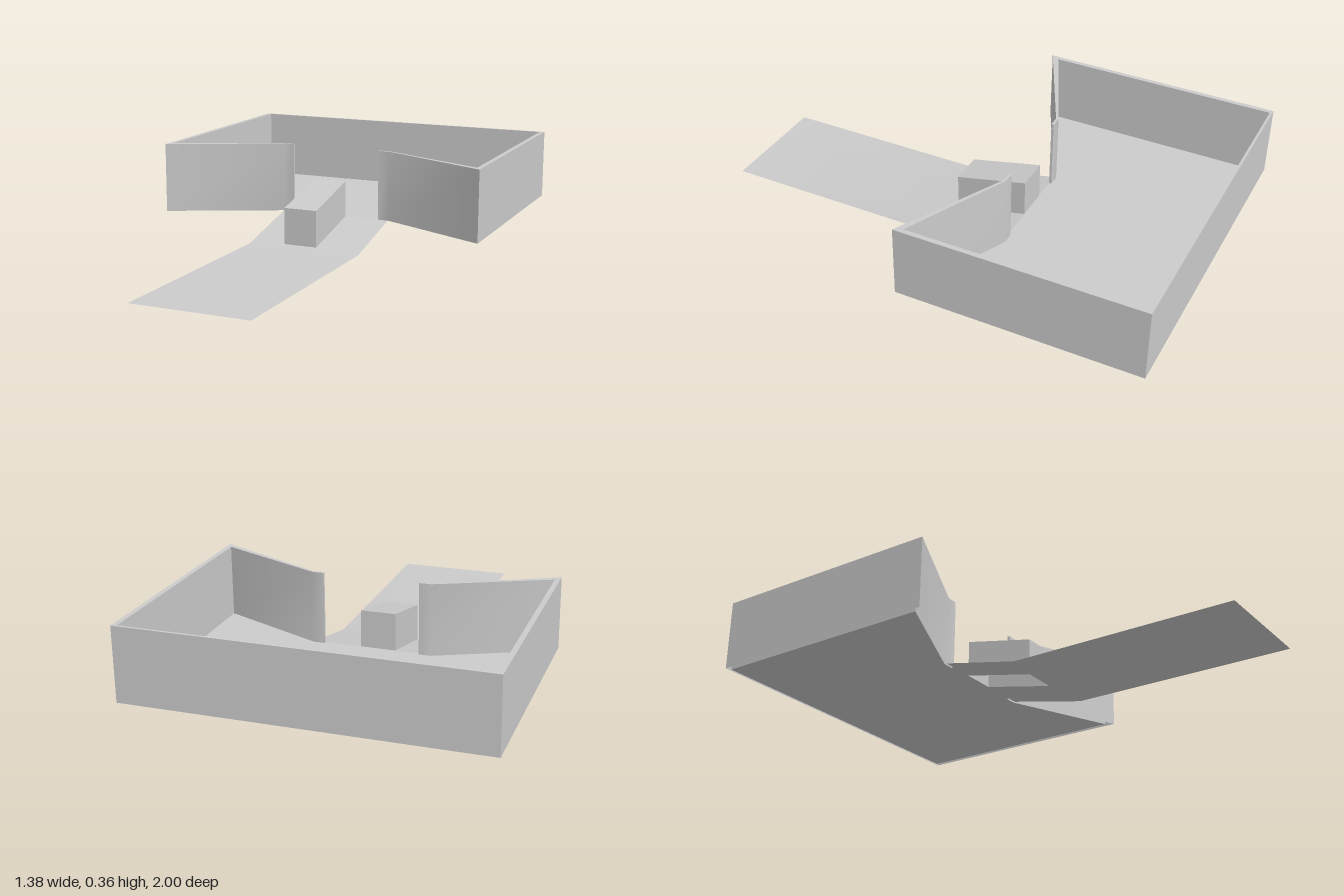
import * as THREE from 'three';
import { toCreasedNormals } from 'three/addons/utils/BufferGeometryUtils.js';

const FLOOR = 0.072, TOP = 0.362;
const material = new THREE.MeshStandardMaterial({ color: 0xcccccc, side: THREE.DoubleSide });

// Mesh from a list of quads, smooth over gentle bends and sharp elsewhere
function quadMesh(name, quads) {
  const pos = [];
  for (const [a, b, c, d] of quads) pos.push(...a, ...b, ...c, ...a, ...c, ...d);
  const geo = new THREE.BufferGeometry();
  geo.setAttribute('position', new THREE.Float32BufferAttribute(pos, 3));
  const mesh = new THREE.Mesh(toCreasedNormals(geo, 0.6), material);
  mesh.name = name;
  return mesh;
}

export function createModel() {
  const group = new THREE.Group();

  // Wall plan on the left half: [outer x, outer z, inner x, inner z], mirrored to the right
  const half = [
    [0.192, -0.24, 0.192, -0.25],
    [0.237, -0.24, 0.24, -0.25],
    [0.69, -0.02, 0.67, -0.055],
    [0.69, -1, 0.67, -0.99],
  ];
  const plan = [...half, ...half.map(([a, b, c, d]) => [-a, b, -c, d]).reverse()];

  // Wall: outer face, top rim and inner face, open underneath, closed at the two ends
  const sections = plan.map(([ox, oz, ix, iz]) => [
    [ox, FLOOR, oz], [ox, TOP, oz], [ix, TOP, iz], [ix, FLOOR, iz],
  ]);
  const wall = [];
  for (let i = 0; i < sections.length - 1; i++) {
    const s = sections[i], t = sections[i + 1];
    for (let k = 0; k < 3; k++) wall.push([s[k], t[k], t[k + 1], s[k + 1]]);
  }
  wall.push(sections[0], [...sections[sections.length - 1]].reverse());
  group.add(quadMesh('wall', wall));

  // Floor: follows the inner side of the wall and reaches out to the opening
  const outline = [[0.192, -0.24], ...plan.map((p) => [p[2], p[3]]), [-0.192, -0.24]];
  const shape = new THREE.Shape(outline.map(([x, z]) => new THREE.Vector2(x, -z)));
  const floor = new THREE.Mesh(new THREE.ShapeGeometry(shape), material);
  floor.geometry.rotateX(-Math.PI / 2).translate(0, FLOOR, 0);
  floor.name = 'floor';
  group.add(floor);

  // Ramp: thin sheet, sloping then flat, with a hole beneath the block
  const xs = [-0.24, -0.095, 0.045, 0.236];
  const rows = [[-0.24, FLOOR], [0.057, 0.006], [0.085, 0], [1, 0]];
  const at = (i, j) => [xs[i], rows[j][1], rows[j][0]];
  const ramp = [];
  for (let j = 0; j < 3; j++) {
    for (let i = 0; i < 3; i++) {
      if (i === 1 && j === 0) continue;
      ramp.push([at(i, j), at(i, j + 1), at(i + 1, j + 1), at(i + 1, j)]);
    }
  }
  group.add(quadMesh('ramp', ramp));

  // Block: raised from the hole parallel to the slope, hollow from below
  const base = [at(1, 0), at(1, 1), at(2, 1), at(2, 0)];
  const lid = base.map(([x, y, z]) => [x, y + 0.15, z]);
  const block = [lid];
  for (let k = 0; k < 4; k++) {
    const n = (k + 1) % 4;
    block.push([base[k], base[n], lid[n], lid[k]]);
  }
  group.add(quadMesh('block', block));

  return group;
}
